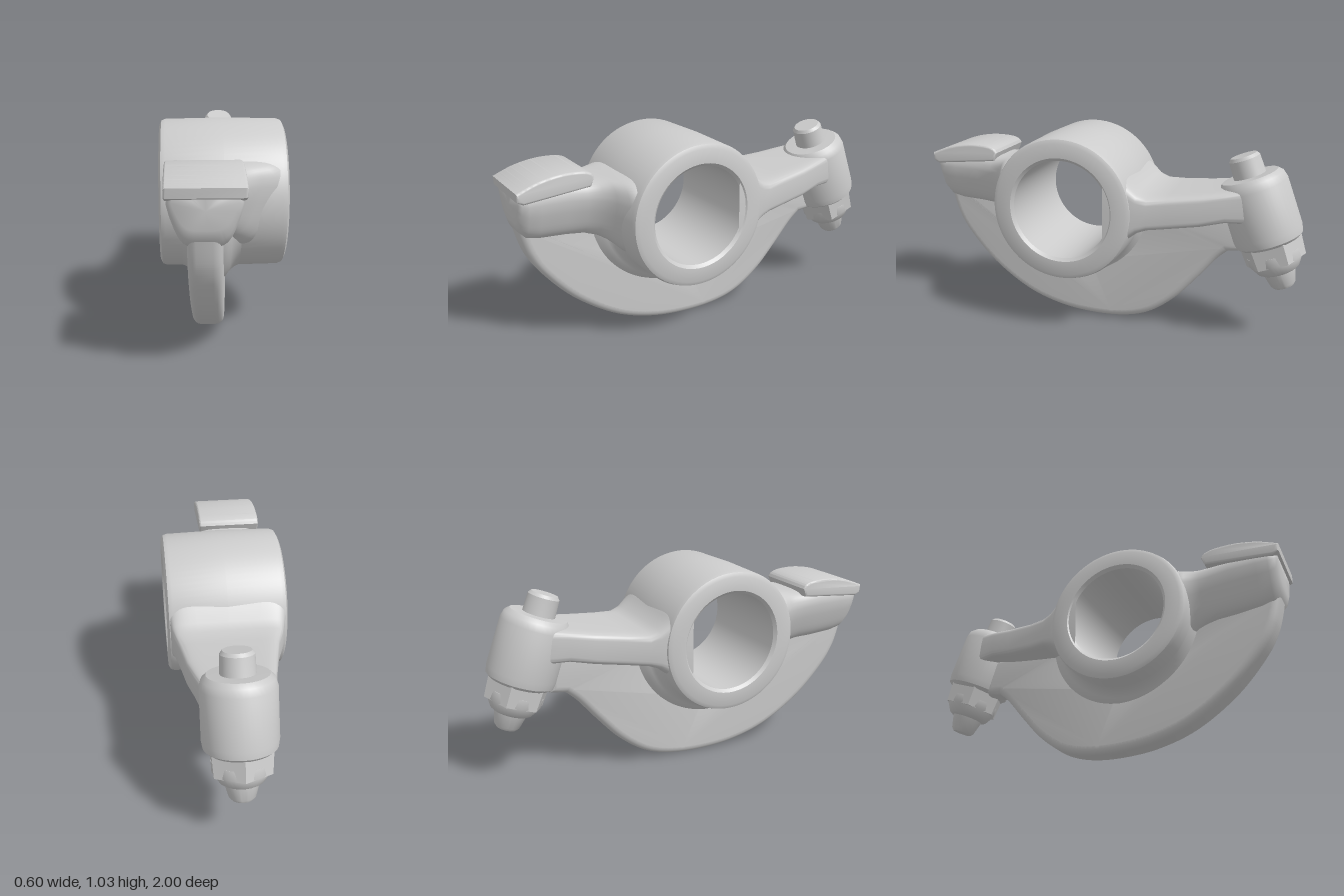
import * as THREE from 'three';
import { toCreasedNormals } from 'three/addons/utils/BufferGeometryUtils.js';

const HUB_Y = 0.66, HUB_Z = 0.18;
const V = (x, y) => new THREE.Vector2(x, y);
const material = new THREE.MeshStandardMaterial({ color: 0xcccccc });

function add(parent, name, geometry, mat = material) {
  const mesh = new THREE.Mesh(geometry, mat);
  mesh.name = name;
  parent.add(mesh);
  return mesh;
}

// Extrude a (z, y) profile sideways, centred on x = 0
function sideExtrude(shape, width, bevel) {
  const g = new THREE.ExtrudeGeometry(shape, {
    depth: width - 2 * bevel, bevelThickness: bevel, bevelSize: bevel,
    bevelOffset: -bevel, bevelSegments: 4, curveSegments: 40,
  });
  g.translate(0, 0, -(width - 2 * bevel) / 2);
  return g.rotateY(-Math.PI / 2);
}

// Revolve an (r, x) profile about the hub axis
function hubLathe(points, segments, start = 0, length = Math.PI * 2) {
  const g = new THREE.LatheGeometry(points, segments, start, length);
  return g.rotateZ(-Math.PI / 2).translate(0, HUB_Y, HUB_Z);
}

// Rounded-rectangle sections [z, x0, x1, y0, y1] joined along z;
// taper narrows the lower half of each section
function loft(stations, power, taper = 0) {
  const N = 48, pos = [], index = [];
  const soft = (v) => Math.sign(v) * Math.abs(v) ** (2 / power);
  stations.forEach(([z, x0, x1, y0, y1]) => {
    for (let j = 0; j < N; j++) {
      const a = (j / N) * Math.PI * 2;
      const u = soft(Math.cos(a)), v = soft(Math.sin(a));
      const narrow = 1 - taper * Math.max(0, 0.3 - v) / 1.3;
      pos.push((x0 + x1) / 2 + u * narrow * (x1 - x0) / 2, (y0 + y1) / 2 + v * (y1 - y0) / 2, z);
    }
  });
  for (let i = 0; i < stations.length - 1; i++) {
    for (let j = 0; j < N; j++) {
      const a = i * N + j, b = i * N + (j + 1) % N;
      index.push(a, b, a + N, b, b + N, a + N);
    }
  }
  const g = new THREE.BufferGeometry();
  g.setAttribute('position', new THREE.Float32BufferAttribute(pos, 3));
  g.setIndex(index);
  return toCreasedNormals(g, 0.9);
}

export function createModel() {
  const model = new THREE.Group();
  model.name = 'rockerArm';

  // Bored hub with softened rims
  const hub = [
    V(0.25, -0.285), V(0.265, -0.3), V(0.335, -0.3), V(0.355, -0.29), V(0.362, -0.27), V(0.367, 0),
    V(0.362, 0.27), V(0.355, 0.29), V(0.335, 0.3), V(0.265, 0.3), V(0.25, 0.285), V(0.25, -0.285),
  ];
  add(model, 'hub', toCreasedNormals(hubLathe(hub, 72), 0.6));

  // Curved web hanging below the hub, leaning sideways from front to back
  const web = new THREE.Shape();
  web.moveTo(-0.72, 0.66);
  web.lineTo(-0.70, 0.46);
  web.lineTo(-0.62, 0.45);
  web.splineThru([
    V(-0.56, 0.395), V(-0.46, 0.275), V(-0.35, 0.155), V(-0.22, 0.06), V(-0.08, 0.014), V(0.1, 0.001),
    V(0.3, 0.02), V(0.5, 0.085), V(0.7, 0.215), V(0.85, 0.37), V(0.93, 0.5), V(0.975, 0.66),
  ]);
  web.lineTo(HUB_Z + 0.31, HUB_Y);
  web.absarc(HUB_Z, HUB_Y, 0.31, 0, -Math.PI, true);
  const webGeo = sideExtrude(web, 0.145, 0.038);
  const p = webGeo.attributes.position;
  for (let i = 0; i < p.count; i++) p.setX(i, p.getX(i) - 0.042 - 0.064 * p.getZ(i));
  add(model, 'web', toCreasedNormals(webGeo, 0.6));

  // Concave fillet where the underside of the hub meets the web
  const cove = [];
  for (let i = 0; i <= 16; i++) {
    const t = (i / 16) * 2 - 1, s = Math.abs(t);
    cove.push(V(0.358 + 0.12 * (1 - Math.sqrt(1 - (1 - s) ** 2)), -0.053 + Math.sign(t) * (0.055 + 0.12 * s)));
  }
  add(model, 'hubFillet', hubLathe(cove, 48, 0, Math.PI));

  // Tapering rear arm
  add(model, 'rearArm', loft([
    [-0.75, -0.13, 0.18, 0.63, 0.81],
    [-0.62, -0.165, 0.21, 0.635, 0.79],
    [-0.50, -0.19, 0.235, 0.61, 0.773],
    [-0.35, -0.225, 0.255, 0.59, 0.757],
    [-0.25, -0.26, 0.272, 0.578, 0.75],
    [-0.20, -0.275, 0.282, 0.56, 0.77],
    [-0.15, -0.29, 0.29, 0.52, 0.82],
    [-0.10, -0.294, 0.294, 0.48, 0.88],
    [-0.04, -0.294, 0.294, 0.44, 0.92],
  ], 7));

  // Front head flaring into the hub
  add(model, 'frontHead', loft([
    [0.44, -0.29, 0.29, 0.45, 0.87],
    [0.50, -0.29, 0.285, 0.48, 0.865],
    [0.53, -0.275, 0.24, 0.51, 0.86],
    [0.56, -0.258, 0.17, 0.535, 0.855],
    [0.60, -0.25, 0.11, 0.555, 0.85],
    [0.66, -0.25, 0.075, 0.57, 0.85],
    [0.75, -0.255, 0.06, 0.575, 0.86],
    [0.88, -0.257, 0.058, 0.585, 0.86],
    [0.94, -0.257, 0.058, 0.60, 0.855],
    [0.972, -0.25, 0.05, 0.635, 0.85],
    [0.985, -0.235, 0.035, 0.68, 0.84],
    [0.986, -0.1, -0.099, 0.76, 0.761],
  ], 4.5, 0.38));

  // Curved contact pad
  const pad = new THREE.Shape();
  pad.moveTo(0.64, 0.83);
  pad.lineTo(0.97, 0.80);
  pad.lineTo(0.998, 0.815);
  pad.lineTo(1.0, 0.857);
  pad.splineThru([V(0.9, 0.894), V(0.79, 0.913), V(0.69, 0.911), V(0.64, 0.897), V(0.622, 0.875)]);
  const padGeo = sideExtrude(pad, 0.337, 0.012).translate(-0.098, 0, 0);
  add(model, 'contactPad', toCreasedNormals(padGeo, 0.6));

  // Tilted rear boss carrying the adjusting screw; local y runs along the screw
  const screw = new THREE.Group();
  screw.name = 'adjuster';
  screw.position.set(0.025, 0.94, -0.672);
  screw.rotation.x = 0.347;
  model.add(screw);
  const lathe = (name, pts) =>
    add(screw, name, toCreasedNormals(new THREE.LatheGeometry(pts.map(([r, y]) => V(r, y)), 40), 0.6));
  lathe('boss', [[0, -0.45], [0.15, -0.45], [0.168, -0.435], [0.174, -0.4], [0.172, -0.16],
    [0.162, -0.125], [0.14, -0.105], [0, -0.1]]);
  lathe('screwHead', [[0, -0.15], [0.085, -0.15], [0.08, -0.1], [0.077, -0.015], [0.065, 0], [0, 0]]);
  const flat = material.clone();
  flat.flatShading = true;
  const nut = add(screw, 'lockNut', new THREE.CylinderGeometry(0.158, 0.15, 0.12, 6), flat);
  nut.position.y = -0.49;
  lathe('nutCollar', [[0, -0.605], [0.088, -0.605], [0.105, -0.595], [0.135, -0.545], [0.135, -0.5], [0, -0.5]]);
  lathe('screwTip', [[0, -0.69], [0.05, -0.69], [0.063, -0.675], [0.085, -0.59], [0, -0.59]]);

  return model;
}
